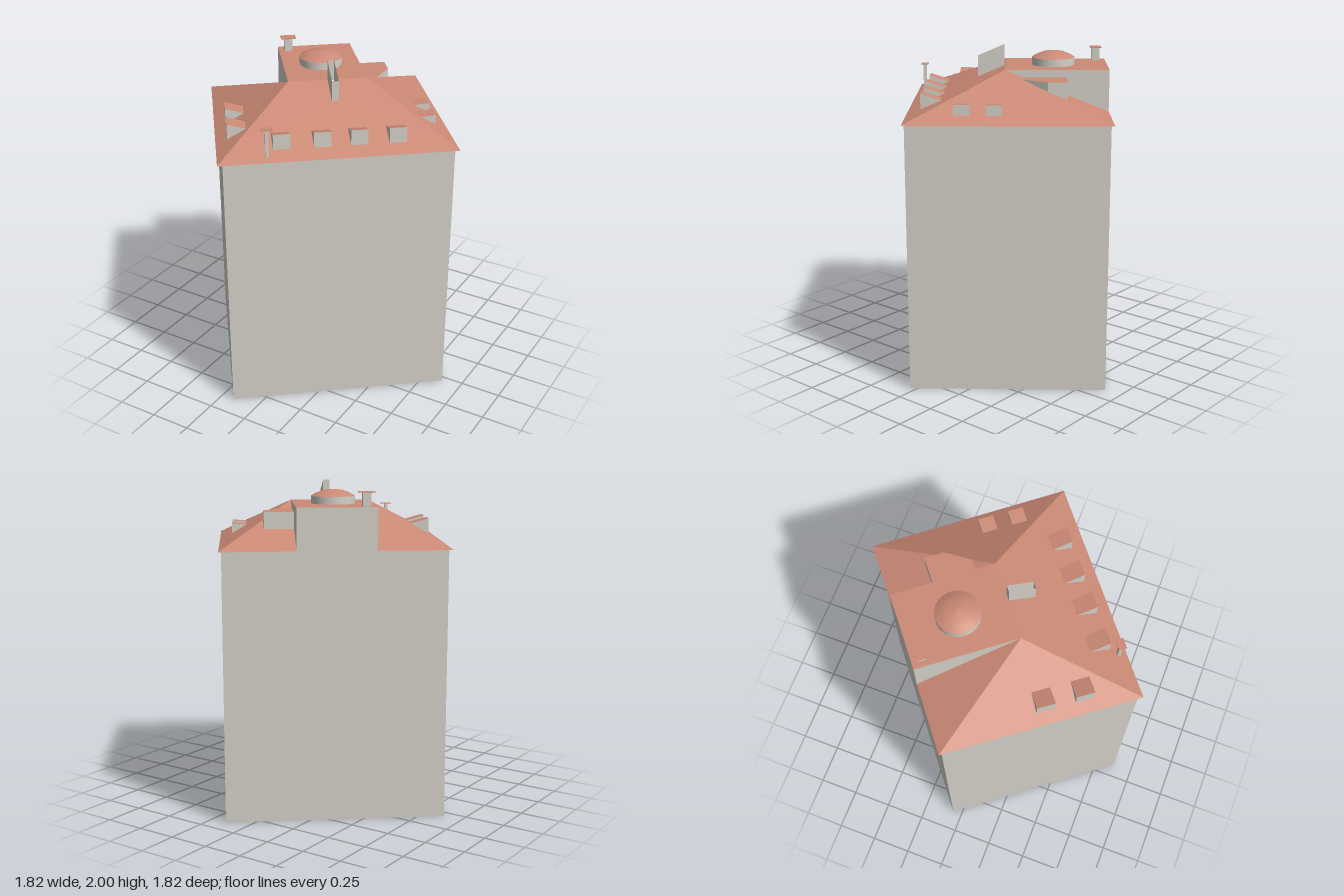
import * as THREE from 'three';

const EAVE = 1.625, TOP = 1.875;

export function createModel() {
  const model = new THREE.Group();
  const stone = new THREE.MeshStandardMaterial({ color: 0xd4d1c8, side: THREE.DoubleSide });
  stone.name = 'stone';
  const tile = new THREE.MeshStandardMaterial({ color: 0xcc8a76, side: THREE.DoubleSide });
  tile.name = 'roof tile';

  const add = (name, geometry, material, parent = model) => {
    const mesh = new THREE.Mesh(geometry, material);
    mesh.name = name;
    parent.add(mesh);
    return mesh;
  };
  // Flat convex polygons, each a list of [x, y, z] corners, as triangle fans
  const polys = (...faces) => {
    const pos = [];
    for (const f of faces)
      for (let i = 1; i < f.length - 1; i++) pos.push(...f[0], ...f[i], ...f[i + 1]);
    const g = new THREE.BufferGeometry();
    g.setAttribute('position', new THREE.Float32BufferAttribute(pos, 3));
    g.computeVertexNormals();
    return g;
  };
  const at = ([x, z], y) => [x, y, z];
  // Upright faces around a plan outline, with bottom and top given by rules
  const ring = (pts, low, high) => polys(...pts.map((p, i) => {
    const q = pts[(i + 1) % pts.length];
    return [at(p, low(p)), at(q, low(q)), at(q, high(q)), at(p, high(p))];
  }));

  // Main walls, open at the bottom
  const walls = [[-0.88, -0.06], [-0.165, 0.875], [0.875, 0.035], [0.145, -0.89]];
  add('walls', ring(walls, () => 0, () => EAVE), stone);

  // Roof plan: eave corners and the flat central deck
  const L = [-0.91, -0.06], F = [-0.18, 0.905], R = [0.905, 0.03], B = [0.145, -0.915];
  const d1 = [-0.565, -0.335], d2 = [-0.18, 0.155], d3 = [0.195, -0.145], d4 = [-0.2, -0.63];
  const e = p => at(p, EAVE), t = p => at(p, TOP);
  add('sideSlopes', polys(
    [e(L), e(F), t(d2)],
    [e(R), e(B), t(d3)],
    [e(d1), e(L), t(d2)],
    [e(B), e(d4), t(d3)]), tile);
  add('flatRoof', polys([t(d1), t(d2), t(d3), t(d4)]), tile);
  add('raisedBay', polys(
    [e(d4), e(d1), t(d1), t(d4)],
    [e(d1), t(d2), t(d1)],
    [e(d4), t(d4), t(d3)]), stone);

  // Front slope with the opening of the shaft
  const slopeY = ([x, z]) =>
    TOP - (TOP - EAVE) * ((x - d2[0]) * 0.625 + (z - d2[1]) * 0.781) / 0.583;
  const shaft = [[0.01, 0.01], [0.112, 0.135], [0.145, 0.11], [0.04, -0.014]];
  const plan = pts => pts.map(([x, z]) => new THREE.Vector2(x, -z));
  const shape = new THREE.Shape(plan([F, R, d3, d2]));
  shape.holes.push(new THREE.Path(plan(shaft)));
  const front = new THREE.ShapeGeometry(shape);
  const fp = front.attributes.position;
  for (let i = 0; i < fp.count; i++) {
    const p = [fp.getX(i), -fp.getY(i)];
    fp.setXYZ(i, p[0], slopeY(p), p[1]);
  }
  front.computeVertexNormals();
  add('frontSlope', front, tile);
  add('openShaft', ring(shaft, slopeY, p => slopeY(p) + 0.125), stone);

  // Wedge dormers: front foot centre, facing direction, size
  const dormer = ([x, z], [nx, nz], w, low, high, depth, back) => {
    const g = new THREE.Group();
    g.name = 'dormer';
    g.position.set(x, 0, z);
    g.rotation.y = Math.atan2(nx, nz);
    const h = w / 2;
    add('dormerWalls', polys(
      [[-h, low, 0], [h, low, 0], [h, high, 0], [-h, high, 0]],
      [[h, low, 0], [h, back, -depth], [h, high, 0]],
      [[-h, low, 0], [-h, high, 0], [-h, back, -depth]]), stone, g);
    add('dormerRoof', polys(
      [[-h, high, 0], [h, high, 0], [h, back, -depth], [-h, back, -depth]]), tile, g);
    model.add(g);
  };
  for (const p of [[0.055, 0.6], [0.24, 0.455], [0.405, 0.32], [0.58, 0.18]])
    dormer(p, [0.625, 0.781], 0.1, 1.66, 1.755, 0.125, 1.715);
  for (const p of [[-0.465, 0.415], [-0.325, 0.6]])
    dormer(p, [-0.797, 0.603], 0.11, 1.66, 1.755, 0.11, 1.724);
  for (const p of [[0.517, -0.33], [0.63, -0.185]])
    dormer(p, [0.78, -0.626], 0.092, 1.668, 1.73, 0.09, 1.722);

  // Large flat dormer beside the deck, cut off at the hip
  const big = [[-0.04, -0.43], [0.12, -0.235], [0.19, -0.28], [0.175, -0.455], [0.1, -0.545]];
  add('flatDormerWalls', ring(big, () => 1.73, () => 1.83), stone);
  add('flatDormerRoof', polys(big.map(p => at(p, 1.83))), tile);

  // Round lantern with a shallow dome
  const drum = add('lanternDrum', new THREE.CylinderGeometry(0.132, 0.132, 0.045, 24, 1, true), stone);
  drum.position.set(-0.177, 1.8975, -0.225);
  const profile = [[0.132, 1.92], [0.1, 1.938], [0.06, 1.953], [0, 1.96]];
  const dome = add('lanternDome',
    new THREE.LatheGeometry(profile.map(([r, y]) => new THREE.Vector2(r, y)), 24), tile);
  dome.position.set(-0.177, 0, -0.225);

  // Chimneys with thin wider caps
  const chimney = (x, z, size, low, high, capW, capD) => {
    const g = new THREE.Group();
    g.name = 'chimney';
    g.position.set(x, 0, z);
    g.rotation.y = Math.atan2(0.625, 0.781);
    add('chimneyStack', new THREE.BoxGeometry(size, high - low, size), stone, g)
      .position.y = (low + high) / 2;
    add('chimneyCap', new THREE.BoxGeometry(capW, 0.004, capD), tile, g).position.y = high;
    model.add(g);
  };
  chimney(-0.48, -0.325, 0.05, TOP, 1.958, 0.095, 0.07);
  chimney(0.011, 0.687, 0.02, 1.64, 1.81, 0.065, 0.045);

  return model;
}
